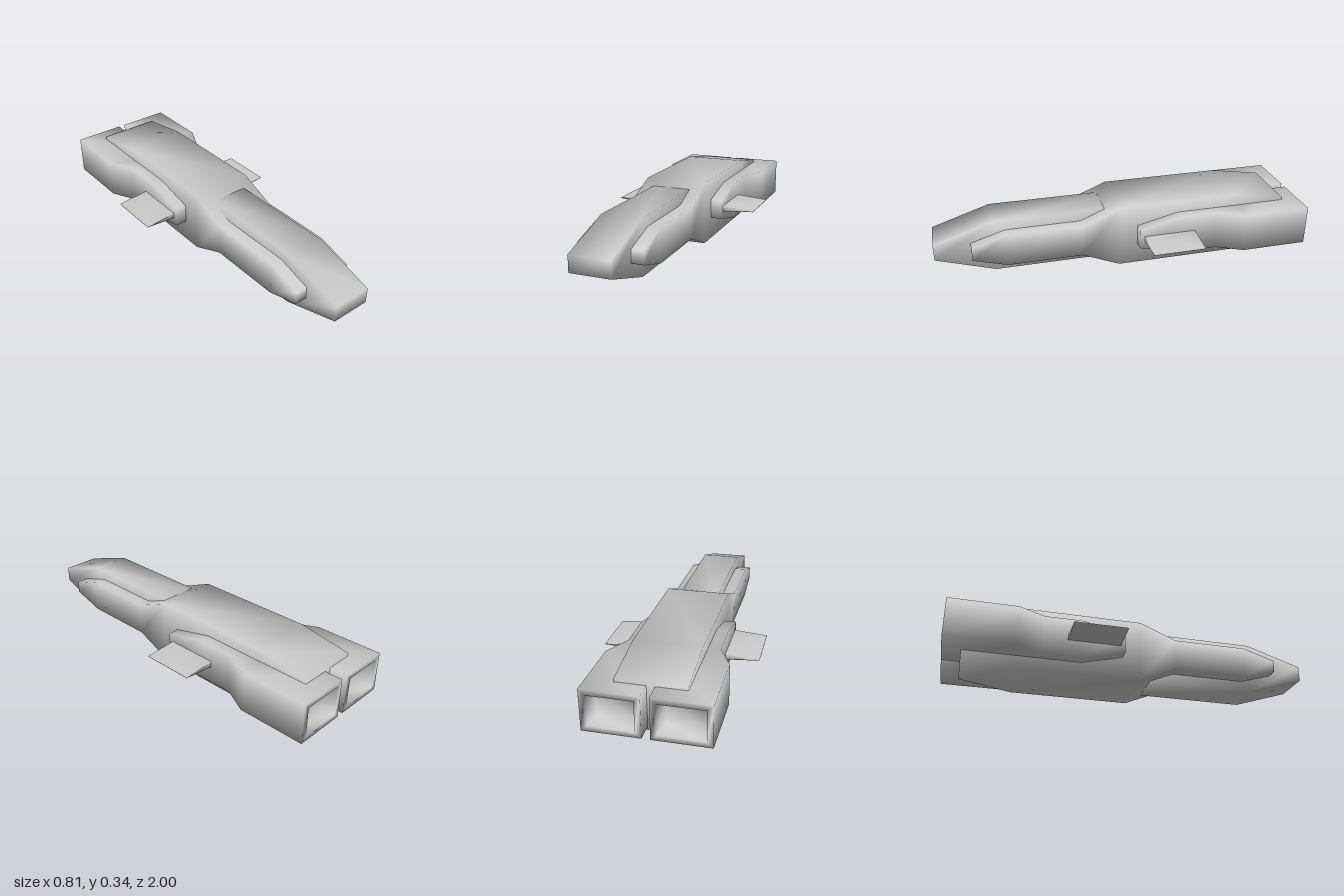
import * as THREE from 'three';

const material = new THREE.MeshStandardMaterial({ color: 0xcccccc });

// Smooth-shaded loft through rectangles [z, x0, x1, y0, y1], ordered front to back
function loft(sections) {
  const positions = [], index = [];
  for (const [z, x0, x1, y0, y1] of sections) {
    positions.push(x0, y0, z, x1, y0, z, x1, y1, z, x0, y1, z);
  }
  index.push(0, 1, 2, 0, 2, 3);
  for (let s = 0; s < sections.length - 1; s++) {
    for (let i = 0; i < 4; i++) {
      const a = s * 4 + i, d = s * 4 + (i + 1) % 4;
      index.push(a, a + 4, d + 4, a, d + 4, d);
    }
  }
  const e = (sections.length - 1) * 4;
  index.push(e, e + 2, e + 1, e, e + 3, e + 2);
  const geometry = new THREE.BufferGeometry();
  geometry.setAttribute('position', new THREE.Float32BufferAttribute(positions, 3));
  geometry.setIndex(index);
  geometry.computeVertexNormals();
  return geometry;
}

export function createModel() {
  const group = new THREE.Group();
  const add = (name, geometry) => {
    const mesh = new THREE.Mesh(geometry, material);
    mesh.name = name;
    group.add(mesh);
  };
  // Constant-width hull from a side profile of [z, bottom, top]
  const hull = (halfWidth, profile) =>
    loft(profile.map(([z, y0, y1]) => [z, -halfWidth, halfWidth, y0, y1]));

  // Narrow nose, running back into the fuselage
  add('nose', hull(0.105, [[1, 0.13, 0.215], [0.69, 0.03, 0.315], [0.0, 0.03, 0.315]]));

  // Wide fuselage with slim front cheeks and a deep rear
  add('fuselage', hull(0.17, [
    [0.81, 0.138, 0.205], [0.63, 0.085, 0.26], [0.23, 0.085, 0.26],
    [0.03, 0, 0.342], [-0.62, 0, 0.342], [-0.905, 0.048, 0.295],
  ]));

  for (const side of [1, -1]) {
    const label = side > 0 ? 'left' : 'right';

    // Engine flaring outward, ending in a recessed nozzle
    const engine = [
      [-0.07, 0.02, 0.232, 0.12, 0.225],
      [-0.295, 0.02, 0.232, 0.065, 0.278],
      [-0.5, 0.02, 0.232, 0.065, 0.278],
      [-0.64, 0.02, 0.302, 0.065, 0.278],
      [-1, 0.02, 0.302, 0.065, 0.278],
      [-1, 0.05, 0.272, 0.093, 0.25],
      [-0.92, 0.07, 0.252, 0.108, 0.235],
    ];
    add(label + 'Engine', loft(engine.map(([z, x0, x1, y0, y1]) =>
      side > 0 ? [z, x0, x1, y0, y1] : [z, -x1, -x0, y0, y1])));

    // Stub fin, lofted from tip to root and turned sideways
    const [c0, c1] = side > 0 ? [0.095, 0.375] : [-0.375, -0.095];
    const fin = loft([[0.405, c0, c1, 0.17, 0.174], [0.2, c0, c1, 0.154, 0.19]]);
    fin.rotateY(side * Math.PI / 2);
    add(label + 'Fin', fin);
  }
  return group;
}
